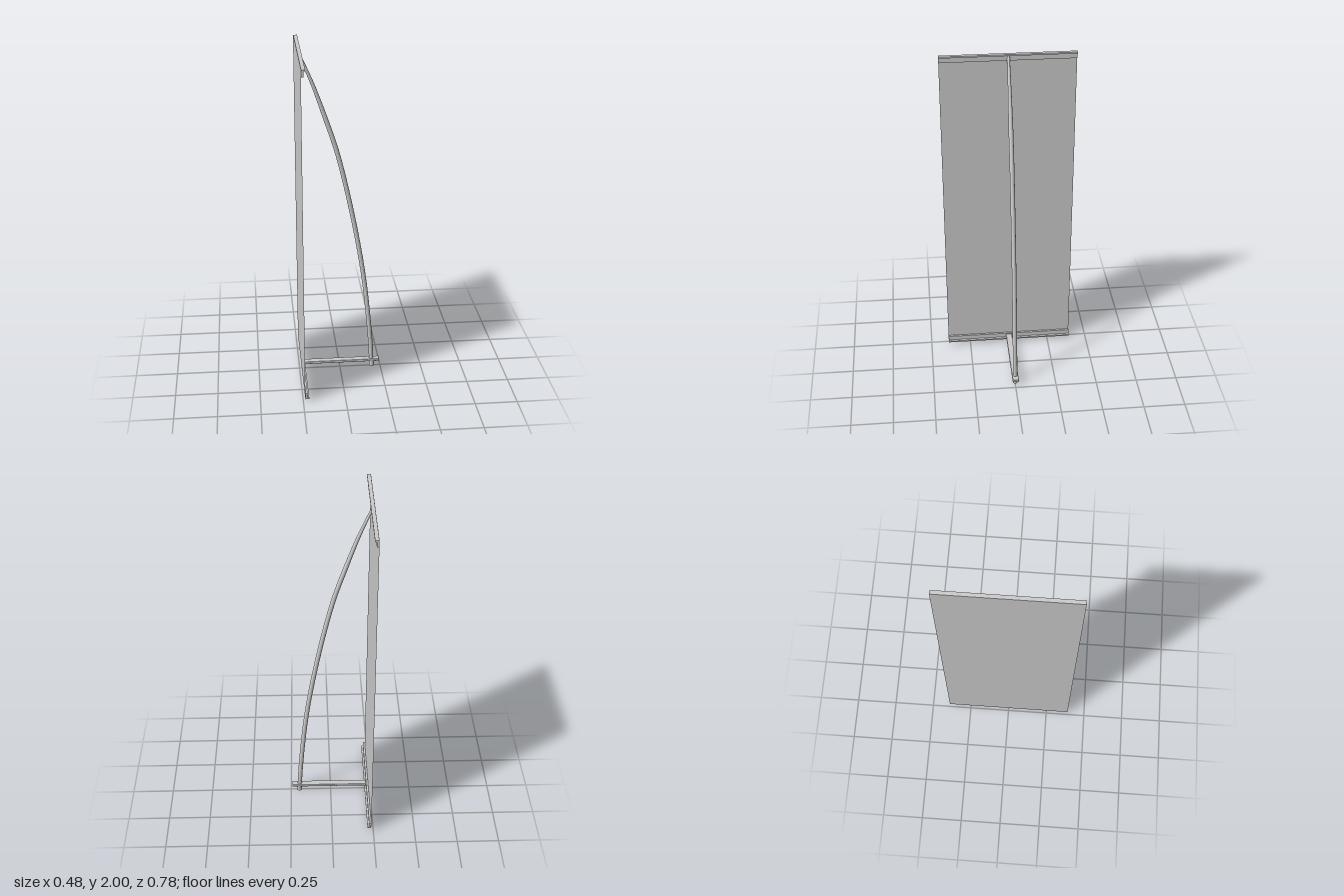
import * as THREE from 'three';
import { RoundedBoxGeometry } from 'three/addons/geometries/RoundedBoxGeometry.js';

const material = new THREE.MeshStandardMaterial({ color: 0xcccccc });
const sheetMaterial = new THREE.MeshStandardMaterial({ color: 0xcccccc, side: THREE.DoubleSide });
const LENGTH = 0.78;

function add(group, name, geometry, x = 0, y = 0, z = 0, mat = material) {
  const mesh = new THREE.Mesh(geometry, mat);
  mesh.name = name;
  mesh.position.set(x, y, z);
  group.add(mesh);
  return mesh;
}

// Clamping rail: flat plate with a lip along its outer edge, running along z
function railGeometry(edgeY, dir) {
  const points = [[-0.237, 0], [-0.215, 0], [-0.215, 0.009], [-0.225, 0.012], [-0.225, 0.04], [-0.237, 0.04]];
  const shape = new THREE.Shape(points.map(([x, d]) => new THREE.Vector2(x, edgeY + dir * d)));
  return new THREE.ExtrudeGeometry(shape, { depth: LENGTH, bevelEnabled: false }).translate(0, 0, -LENGTH / 2);
}

// Bowed pole, round in section and thinner near its top
function poleGeometry() {
  const path = new THREE.CatmullRomCurve3([
    [0.197, 0.015], [0.186, 0.2], [0.145, 0.6], [0.077, 1.0],
    [-0.014, 1.4], [-0.078, 1.6], [-0.156, 1.82], [-0.226, 1.985],
  ].map(([x, y]) => new THREE.Vector3(x, y, 0)));
  const rings = 48, sides = 16, radius = 0.0135;
  const geometry = new THREE.TubeGeometry(path, rings, radius, sides, false);
  const pos = geometry.attributes.position;
  const p = new THREE.Vector3();
  for (let i = 0; i <= rings; i++) {
    const t = i / rings;
    const centre = path.getPointAt(t);
    const scale = 1 - 0.45 * THREE.MathUtils.clamp((t - 0.8) / 0.2, 0, 1);
    for (let j = 0; j <= sides; j++) {
      const k = i * (sides + 1) + j;
      p.fromBufferAttribute(pos, k).sub(centre).multiplyScalar(scale).add(centre);
      pos.setXYZ(k, p.x, p.y, p.z);
    }
  }
  geometry.computeVertexNormals();
  return geometry;
}

export function createModel() {
  const model = new THREE.Group();
  model.name = 'bannerStand';

  // Banner sheet on the outer face of the rails
  add(model, 'bannerSheet', new THREE.PlaneGeometry(LENGTH, 1.98).rotateY(-Math.PI / 2),
    -0.238, 1.008, 0, sheetMaterial);

  // Rails, mirrored top and bottom
  add(model, 'topRail', railGeometry(2.0, -1));
  add(model, 'bottomRail', railGeometry(0.018, 1));

  // Foot beam joining the bottom rail to the pole
  add(model, 'footBeam', new RoundedBoxGeometry(0.468, 0.017, 0.039, 3, 0.005), 0.009, 0.044, -0.001);

  // Pole and the round foot under it
  add(model, 'bowedPole', poleGeometry(), 0, 0, -0.001);
  add(model, 'poleFoot', new THREE.CylinderGeometry(0.0145, 0.0145, 0.036, 20), 0.198, 0.018, -0.001);

  return model;
}
